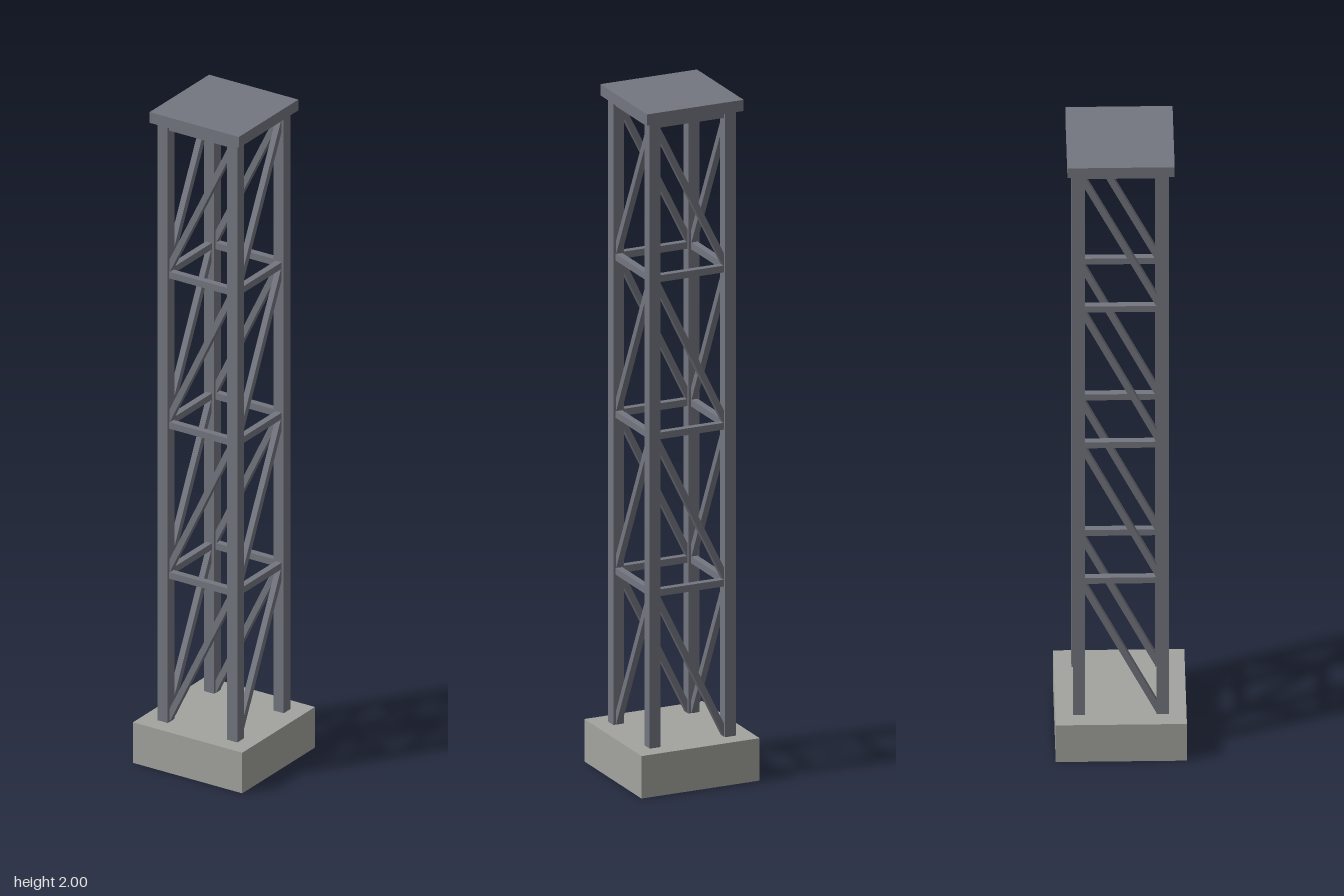
import * as THREE from 'three';

export function createModel() {
  const concrete = new THREE.MeshStandardMaterial({ color: 0xa3a39e });
  concrete.name = 'concrete grey';
  const steel = new THREE.MeshStandardMaterial({ color: 0x73767f });
  steel.name = 'steel grey';

  const LEG = 0.117;      // leg centre offset
  const BASE_TOP = 0.125;
  const CAP_BOTTOM = 1.967;
  const levels = [0.117, 0.577, 1.039, 1.502, 1.957];

  const box = (name, w, h, d, mat, x, y, z) => {
    const m = new THREE.Mesh(new THREE.BoxGeometry(w, h, d), mat);
    m.name = name;
    m.position.set(x, y, z);
    return m;
  };

  // Square bar between two points lying in a plane of constant z
  const bar = (name, x0, y0, x1, y1, z, t) => {
    const dx = x1 - x0, dy = y1 - y0;
    const m = box(name, Math.hypot(dx, dy), t, t, steel, (x0 + x1) / 2, (y0 + y1) / 2, z);
    m.rotation.z = Math.atan2(dy, dx);
    return m;
  };

  const tower = new THREE.Group();
  tower.name = 'latticeTower';

  // Footing and top plate
  tower.add(box('footing', 0.367, BASE_TOP, 0.367, concrete, 0, BASE_TOP / 2, 0));
  tower.add(box('topPlate', 0.3, 2 - CAP_BOTTOM, 0.3, steel, 0, (2 + CAP_BOTTOM) / 2, 0));

  // Corner legs
  const legHeight = CAP_BOTTOM - BASE_TOP;
  for (const x of [-LEG, LEG]) {
    for (const z of [-LEG, LEG]) {
      tower.add(box('leg', 0.034, legHeight, 0.034, steel, x, BASE_TOP + legHeight / 2, z));
    }
  }

  // Two opposite braced sides: horizontal struts and rising diagonals
  const bracePair = (name) => {
    const pair = new THREE.Group();
    pair.name = name;
    for (const z of [-LEG, LEG]) {
      for (let i = 1; i < levels.length; i++) {
        pair.add(bar('strut', -LEG, levels[i], LEG, levels[i], z, 0.02));
        pair.add(bar('diagonal', -0.113, levels[i - 1], 0.113, levels[i], z, 0.018));
      }
    }
    return pair;
  };

  // The quarter turn makes the side diagonals rise from +z to -z
  const sides = bracePair('sideBracing');
  sides.rotation.y = Math.PI / 2;
  tower.add(bracePair('frontAndBackBracing'), sides);

  return tower;
}
